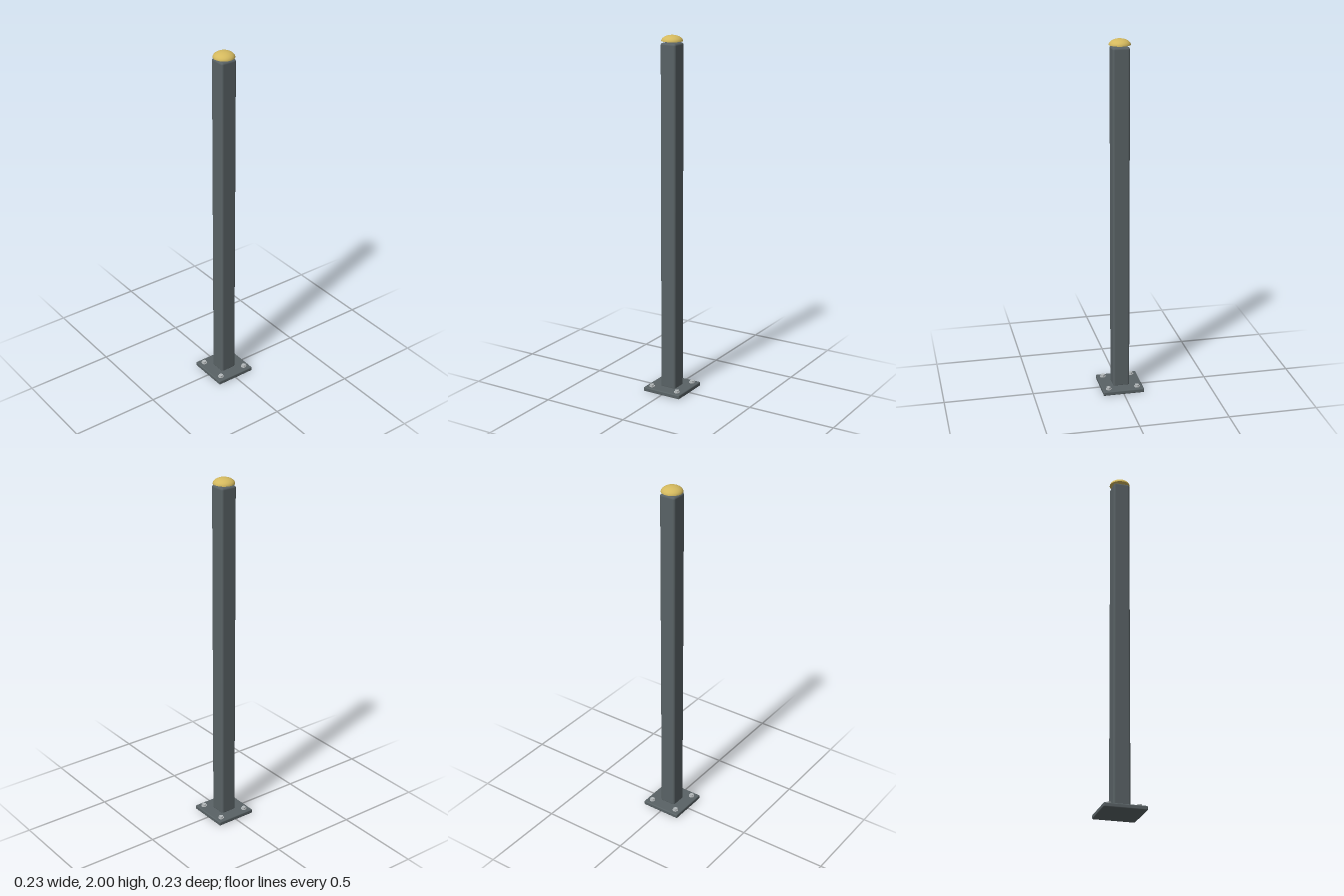
import * as THREE from 'three';
import { RoundedBoxGeometry } from 'three/addons/geometries/RoundedBoxGeometry.js';

export function createModel() {
  const model = new THREE.Group();
  model.name = 'post';

  const material = (name, color) => {
    const m = new THREE.MeshStandardMaterial({ color });
    m.name = name;
    return m;
  };
  const steel = material('dark grey steel', 0x596265);
  const brass = material('brass', 0xd4b95e);
  const zinc = material('zinc', 0xb4b9bb);

  const add = (name, geometry, mat, x, y, z, parent = model) => {
    const mesh = new THREE.Mesh(geometry, mat);
    mesh.name = name;
    mesh.position.set(x, y, z);
    parent.add(mesh);
    return mesh;
  };

  // Base plate and square tube with softened edges
  add('basePlate', new RoundedBoxGeometry(0.234, 0.024, 0.234, 3, 0.006), steel, 0, 0.012, 0);
  add('shaft', new RoundedBoxGeometry(0.094, 1.944, 0.094, 3, 0.012), steel, 0, 0.988, 0);

  // Flattened dome floating just above the shaft, closed underneath
  const profile = [new THREE.Vector2(0, 0)];
  const steps = 12;
  for (let i = 0; i <= steps; i++) {
    const a = (i / steps) * Math.PI / 2;
    profile.push(new THREE.Vector2(i === steps ? 0 : 0.058 * Math.cos(a), 0.032 * Math.sin(a)));
  }
  add('domeCap', new THREE.LatheGeometry(profile.slice(1), 40), brass, 0, 1.968, 0);
  const underside = add('domeUnderside', new THREE.CircleGeometry(0.058, 40), brass, 0, 1.968, 0);
  underside.rotation.x = Math.PI / 2;

  // Hex bolts on round washers at the four corners
  const washer = new THREE.CylinderGeometry(0.016, 0.016, 0.004, 24);
  const head = new THREE.CylinderGeometry(0.0125, 0.0125, 0.009, 6).toNonIndexed();
  head.computeVertexNormals();
  for (const x of [-0.082, 0.082]) {
    for (const z of [-0.082, 0.082]) {
      const bolt = new THREE.Group();
      bolt.name = 'bolt';
      bolt.position.set(x, 0.024, z);
      add('washer', washer, zinc, 0, 0.002, 0, bolt);
      add('boltHead', head, zinc, 0, 0.0085, 0, bolt);
      model.add(bolt);
    }
  }
  return model;
}
